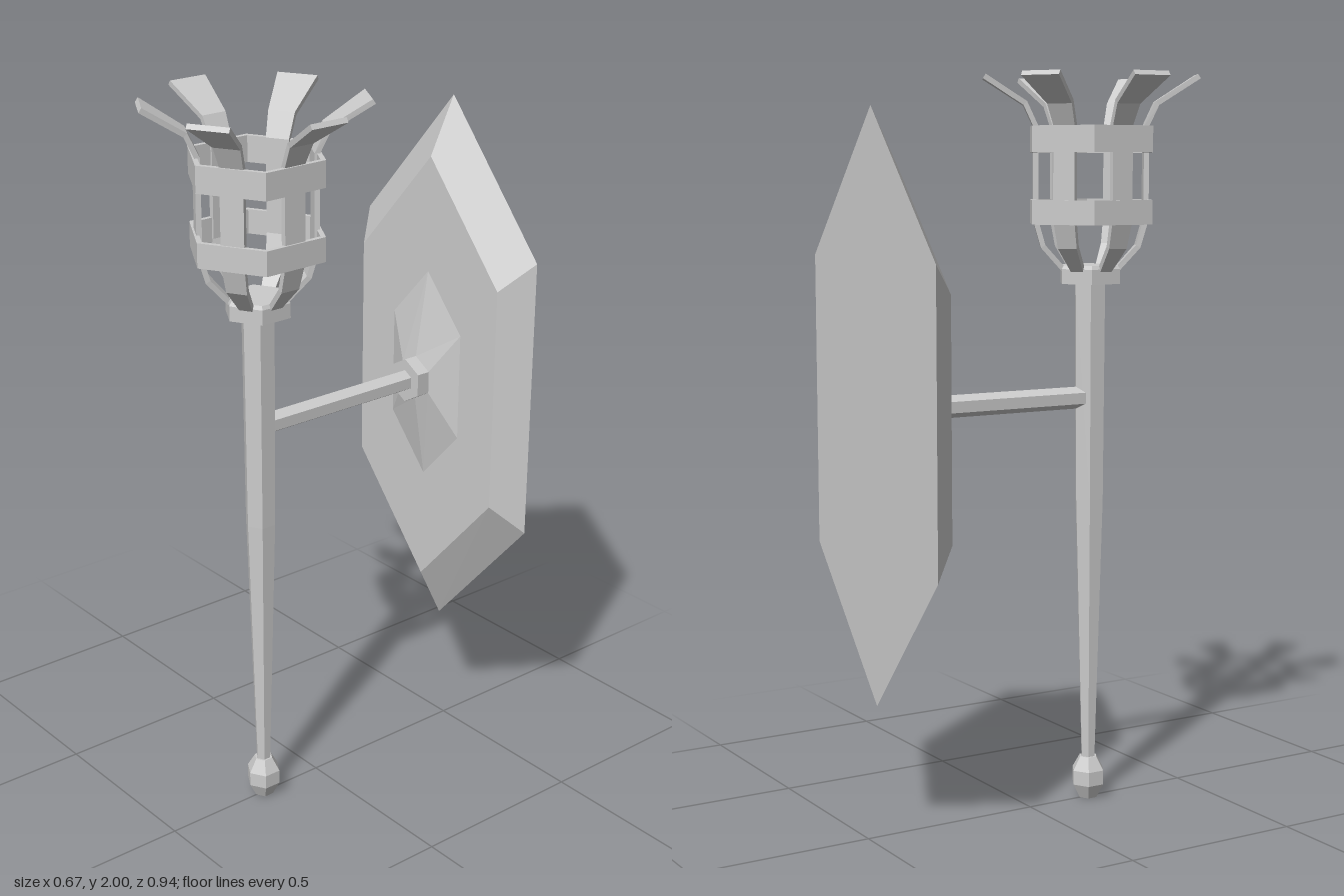
import * as THREE from 'three';

const material = new THREE.MeshStandardMaterial({ color: 0xcccccc, flatShading: true });
const TORCH_Z = 0.19;

function part(name, geometry, parent) {
  const mesh = new THREE.Mesh(geometry, material);
  mesh.name = name;
  parent.add(mesh);
  return mesh;
}

// Six-sided turned shape with corners facing front and back
function turned(points) {
  return new THREE.LatheGeometry(points.map(([r, y]) => new THREE.Vector2(r, y)), 6);
}

// Skin over equal-length rings of corners, closed with a fan at both ends
function loft(rings) {
  const n = rings[0].length;
  const positions = [];
  const tri = (a, b, c) => positions.push(...a, ...b, ...c);
  for (let k = 0; k < rings.length - 1; k++) {
    for (let i = 0; i < n; i++) {
      const j = (i + 1) % n;
      tri(rings[k][i], rings[k][j], rings[k + 1][j]);
      tri(rings[k][i], rings[k + 1][j], rings[k + 1][i]);
    }
  }
  const first = rings[0], last = rings[rings.length - 1];
  for (let i = 1; i < n - 1; i++) {
    tri(first[0], first[i + 1], first[i]);
    tri(last[0], last[i], last[i + 1]);
  }
  const geometry = new THREE.BufferGeometry();
  geometry.setAttribute('position', new THREE.Float32BufferAttribute(positions, 3));
  geometry.computeVertexNormals();
  return geometry;
}

// Bent metal strap that widens with its distance from the torch axis
function strapGeometry() {
  const path = [[0.07, 1.475], [0.128, 1.54], [0.148, 1.61], [0.148, 1.86], [0.176, 1.92], [0.285, 1.99]]
    .map(([r, y]) => new THREE.Vector2(r, y));
  const half = 0.007;
  return loft(path.map((p, i) => {
    const before = path[Math.max(i - 1, 0)];
    const after = path[Math.min(i + 1, path.length - 1)];
    const t = after.clone().sub(before).normalize();
    const dx = t.y * half, dy = -t.x * half;
    const w = 0.018 + (p.x - 0.07) * 0.172;
    return [
      [p.x + dx, p.y + dy, w], [p.x + dx, p.y + dy, -w],
      [p.x - dx, p.y - dy, -w], [p.x - dx, p.y - dy, w],
    ];
  }));
}

// Tall hexagon outline around the arm, counter-clockwise from the front
function plateRing(halfWidth, sideHeight, tipHeight, z) {
  const y = 1.13;
  return [
    [0, y + tipHeight, z], [-halfWidth, y + sideHeight, z], [-halfWidth, y - sideHeight, z],
    [0, y - tipHeight, z], [halfWidth, y - sideHeight, z], [halfWidth, y + sideHeight, z],
  ];
}

// Six-sided bar lying along z, with a corner on top
function bar(radius, z0, z1) {
  const geometry = new THREE.CylinderGeometry(radius, radius, z1 - z0, 6);
  geometry.rotateX(Math.PI / 2);
  geometry.translate(0, 1.13, (z0 + z1) / 2);
  return geometry;
}

export function createModel() {
  const model = new THREE.Group();
  model.name = 'wallTorch';

  const torch = new THREE.Group();
  torch.name = 'torch';
  torch.position.z = TORCH_Z;
  model.add(torch);

  // Handle
  part('knob', turned([[0, 0], [0.027, 0], [0.048, 0.04], [0.048, 0.08], [0.026, 0.118], [0, 0.118]]), torch);
  part('staff', turned([[0.02, 0.11], [0.042, 0.85], [0.046, 1.45]]), torch);
  part('collar', turned([[0, 1.44], [0.09, 1.44], [0.09, 1.48], [0.084, 1.49], [0, 1.49]]), torch);

  // Basket hoops
  for (const [name, y0, y1] of [['lowerHoop', 1.6, 1.665], ['upperHoop', 1.79, 1.86]]) {
    part(name, turned([[0.17, y0], [0.185, y0], [0.185, y1], [0.17, y1], [0.17, y0]]), torch);
  }

  // Basket straps, one per hoop side
  const strap = strapGeometry();
  for (let i = 0; i < 6; i++) {
    part('strap', strap, torch).rotation.y = i * Math.PI / 3;
  }

  // Wall bracket
  part('arm', bar(0.03, -0.33, TORCH_Z - 0.02), model);
  part('armCollar', bar(0.062, -0.356, -0.316), model);
  part('wallPlate', loft([
    plateRing(0.335, 0.39, 0.775, -0.47),
    plateRing(0.27, 0.312, 0.62, -0.393),
    plateRing(0.135, 0.15, 0.3, -0.393),
    plateRing(0.053, 0.031, 0.062, -0.355),
  ]), model);

  return model;
}
